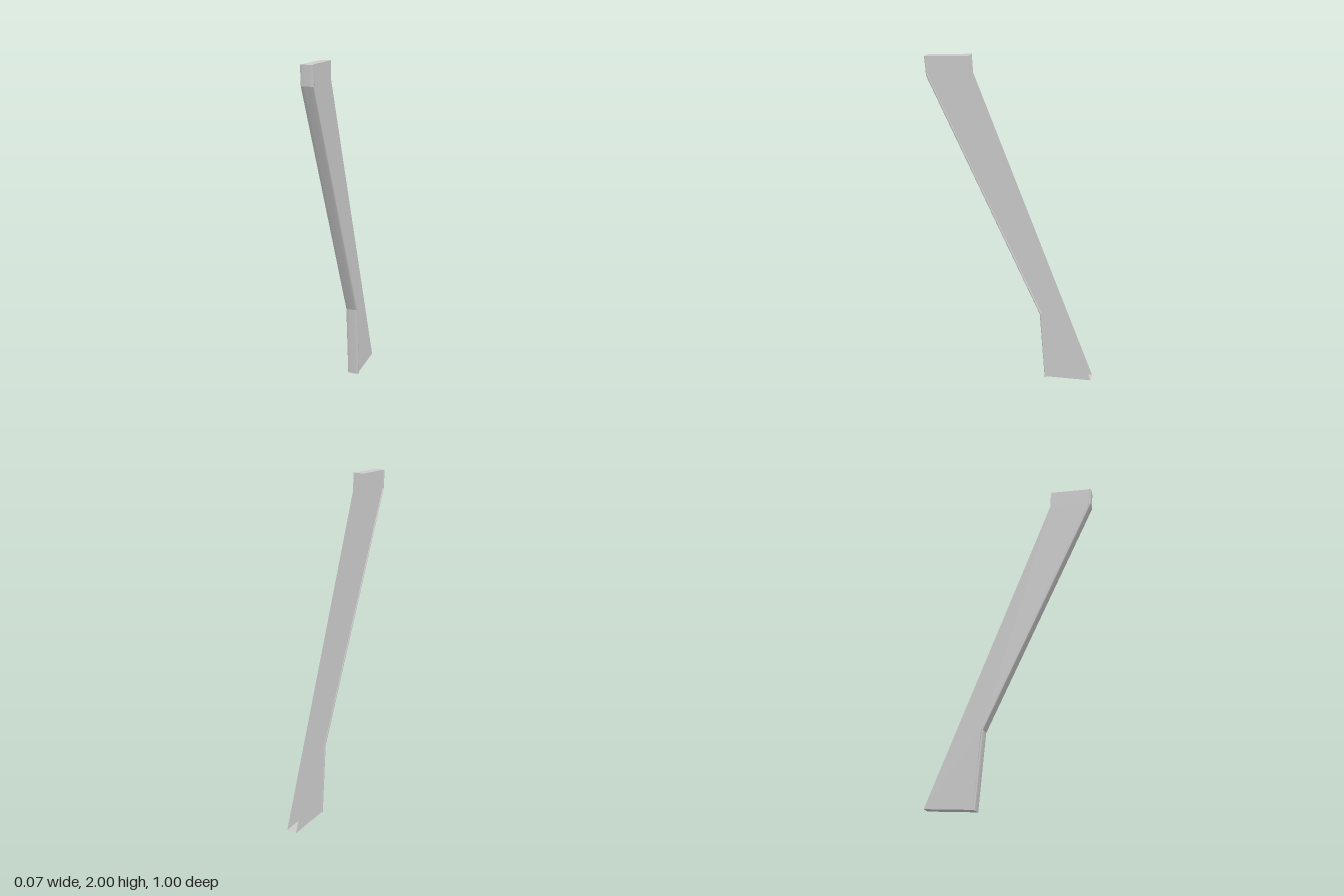
import * as THREE from 'three';

const HALF = 0.031; // half width between the side walls
const LIP = 0.0355; // half width of the front strip

// Paths in the side plane, as [z, y], from top to bottom
const front = [[0.503, 1.986], [0.496, 1.878], [-0.17, 0.455], [-0.208, 0.003]];
const seam = [[0.49, 1.987], [0.484, 1.88], [-0.183, 0.458], [-0.22, 0.008]];
const back = [[0.247, 2.0], [0.241, 1.895], [-0.5, 0.026]];

// Front strip section: [x, blend] where blend 0 is the seam and 1 the front
const section = [
  [-HALF, 0], [-LIP, 0], [-LIP, 0.65], [-0.033, 0.92], [-0.015, 1],
  [0.015, 1], [0.033, 0.92], [LIP, 0.65], [LIP, 0], [HALF, 0],
];

// Surface between an upper and a lower row of points
function ribbon(upper, lower) {
  const n = upper.length;
  const index = [];
  for (let i = 0; i < n - 1; i++) {
    index.push(i, n + i, i + 1, i + 1, n + i, n + i + 1);
  }
  const g = new THREE.BufferGeometry();
  g.setAttribute('position', new THREE.Float32BufferAttribute([...upper, ...lower].flat(), 3));
  g.setIndex(index);
  g.computeVertexNormals();
  return g;
}

export function createModel() {
  const model = new THREE.Group();
  model.name = 'bracketLeg';
  const material = new THREE.MeshStandardMaterial({ color: 0xcccccc, side: THREE.DoubleSide });
  const add = (name, geometry, parent = model) => {
    const mesh = new THREE.Mesh(geometry, material);
    mesh.name = name;
    parent.add(mesh);
    return mesh;
  };

  // Two thin side walls
  const outline = [...seam, ...[...back].reverse()].map(([z, y]) => new THREE.Vector2(z, y));
  const wall = new THREE.ShapeGeometry(new THREE.Shape(outline));
  wall.rotateY(-Math.PI / 2).translate(-HALF, 0, 0);
  add('rightWall', wall);
  add('leftWall', wall).scale.x = -1;

  // Rounded front strip, creased at each bend
  const strip = new THREE.Group();
  strip.name = 'frontStrip';
  model.add(strip);
  const row = (k) => section.map(([x, t]) => [
    x,
    THREE.MathUtils.lerp(seam[k][1], front[k][1], t),
    THREE.MathUtils.lerp(seam[k][0], front[k][0], t),
  ]);
  for (let k = 0; k < 3; k++) add('frontStripPart', ribbon(row(k), row(k + 1)), strip);

  // End caps; the back stays open
  const edge = ([z, y]) => [[-HALF, y, z], [HALF, y, z]];
  add('topCap', ribbon(edge(back[0]), edge(seam[0])));
  add('bottomCap', ribbon(edge(seam[3]), edge(back[2])));

  // Ends of the front strip
  const stripEnd = (k) => {
    const pts = section.map(([x, t]) => new THREE.Vector3(
      x,
      THREE.MathUtils.lerp(seam[k][1], front[k][1], t),
      THREE.MathUtils.lerp(seam[k][0], front[k][0], t),
    ).toArray());
    const base = pts.map(([x]) => [x, seam[k][1], seam[k][0]]);
    return k === 0 ? ribbon(base, pts) : ribbon(pts, base);
  };
  add('stripTop', stripEnd(0));
  add('stripBottom', stripEnd(3));

  return model;
}
